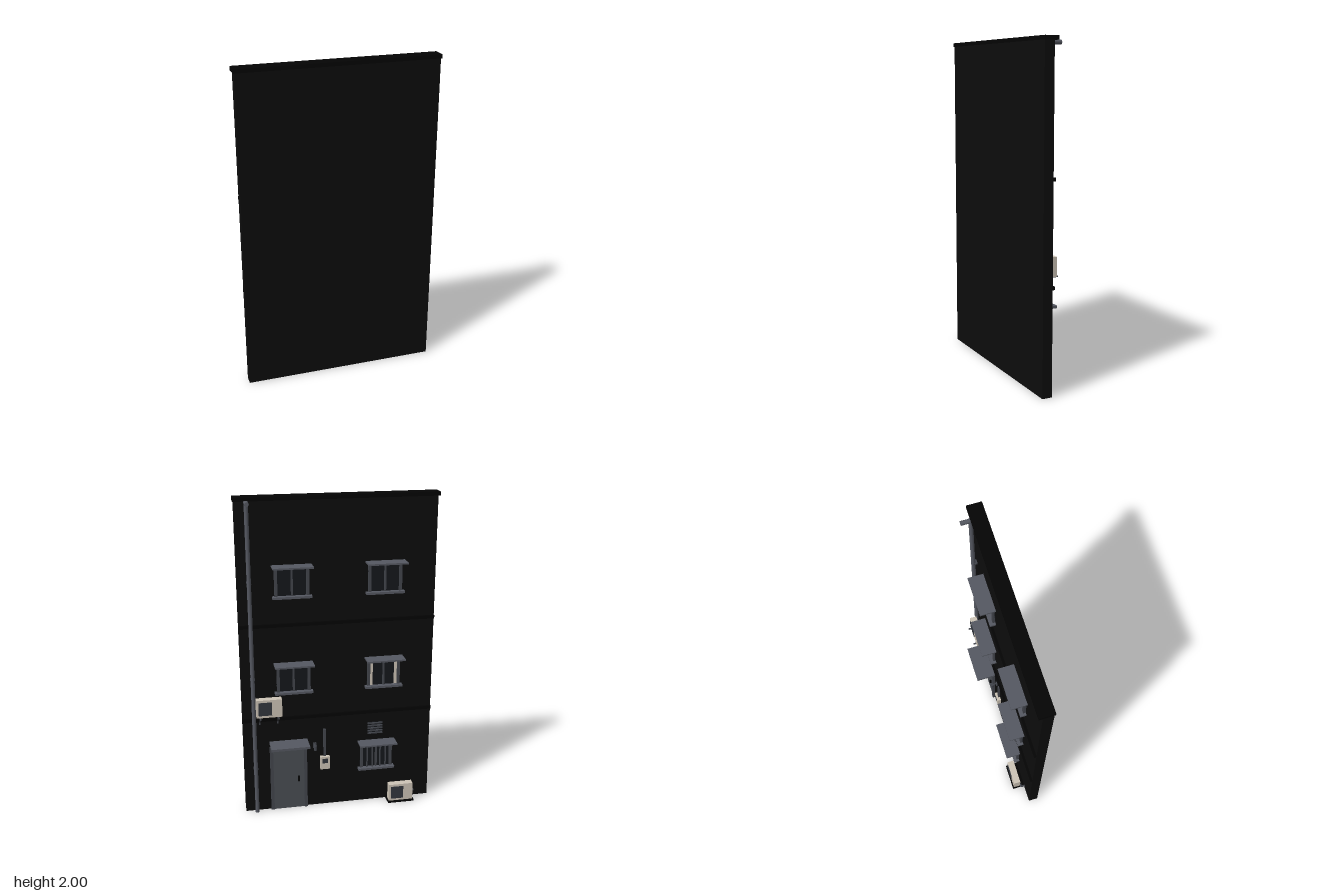
import * as THREE from 'three';

const mat = (name, color) => {
  const m = new THREE.MeshStandardMaterial({ color });
  m.name = name;
  return m;
};

export function createModel() {
  const wallBlack = mat('wall black', 0x0c0c0c);
  const trimBlack = mat('trim black', 0x040404);
  const metal = mat('grey metal', 0x555861);
  const frameGrey = mat('frame grey', 0x43464d);
  const doorGrey = mat('door grey', 0x4a4e54);
  const glass = mat('dark glass', 0x15171b);
  const cream = mat('cream casing', 0xcdc4b6);
  const grille = mat('grille grey', 0x33373e);

  const root = new THREE.Group();
  root.name = 'buildingFacade';
  const FACE = 0.03; // rear face of the wall; details project towards -z

  const group = (name, parent = root) => {
    const g = new THREE.Group();
    g.name = name;
    parent.add(g);
    return g;
  };

  // Box given by its limits on each axis
  const box = (name, m, [x0, x1], [y0, y1], [z0, z1], parent = root) => {
    const mesh = new THREE.Mesh(new THREE.BoxGeometry(x1 - x0, y1 - y0, z1 - z0), m);
    mesh.position.set((x0 + x1) / 2, (y0 + y1) / 2, (z0 + z1) / 2);
    mesh.name = name;
    parent.add(mesh);
    return mesh;
  };

  // Round rod between two points
  const rod = (name, m, a, b, r, parent = root) => {
    const p = new THREE.Vector3(...a), q = new THREE.Vector3(...b);
    const mesh = new THREE.Mesh(new THREE.CylinderGeometry(r, r, p.distanceTo(q), 12), m);
    mesh.position.copy(p).add(q).multiplyScalar(0.5);
    mesh.quaternion.setFromUnitVectors(new THREE.Vector3(0, 1, 0), q.sub(p).normalize());
    mesh.name = name;
    parent.add(mesh);
    return mesh;
  };

  // Wall, cornice and floor bands
  box('wall', wallBlack, [-0.6, 0.6], [0, 1.98], [FACE, 0.09]);
  box('cornice', trimBlack, [-0.607, 0.607], [1.977, 2], [0.006, 0.093]);
  for (const y of [0.63, 1.235]) box('floorBand', trimBlack, [-0.6, 0.6], [y - 0.01, y + 0.01], [0.017, FACE]);

  // Windows with canopy, sill, frame and optional bars or curtains
  const addWindow = (x, sillY, extra) => {
    const g = group('window');
    const top = sillY + 0.182, w = 0.104;
    box('canopy', metal, [x - 0.12, x + 0.12], [top, top + 0.01], [-0.062, FACE], g);
    box('sill', metal, [x - 0.118, x + 0.118], [sillY - 0.008, sillY + 0.006], [-0.006, FACE], g);
    box('glass', glass, [x - w, x + w], [sillY, top], [0.026, FACE], g);
    for (const s of [-1, 1]) {
      const cx = x + s * (w - 0.009);
      box('framePost', frameGrey, [cx - 0.009, cx + 0.009], [sillY, top], [0.014, FACE], g);
    }
    box('frameHead', frameGrey, [x - w, x + w], [top - 0.014, top], [0.014, FACE], g);
    box('mullion', frameGrey, [x - 0.006, x + 0.006], [sillY, top], [0.016, FACE], g);
    if (extra === 'curtains') for (const s of [-1, 1]) {
      const cx = x + s * 0.077;
      box('curtain', cream, [cx - 0.009, cx + 0.009], [sillY + 0.006, top - 0.014], [0.023, 0.027], g);
    }
    if (extra === 'bars') for (const dx of [-0.06, -0.025, 0.025, 0.06])
      box('windowBar', frameGrey, [x + dx - 0.004, x + dx + 0.004], [sillY, top], [0.008, 0.016], g);
  };
  addWindow(0.28, 1.41);
  addWindow(-0.285, 1.41);
  addWindow(0.28, 0.805);
  addWindow(-0.285, 0.805, 'curtains');
  addWindow(-0.245, 0.24, 'bars');

  // Door with frame, handle and canopy
  const door = group('door');
  box('doorPanel', doorGrey, [0.225, 0.42], [0, 0.425], [0.02, FACE], door);
  for (const x of [0.205, 0.42]) box('doorPost', frameGrey, [x, x + 0.02], [0, 0.44], [0.013, FACE], door);
  box('doorHead', frameGrey, [0.205, 0.44], [0.42, 0.44], [0.013, FACE], door);
  box('doorHandle', trimBlack, [0.253, 0.265], [0.19, 0.225], [0.008, 0.02], door);
  box('doorCanopy', metal, [0.2, 0.44], [0.462, 0.477], [-0.093, FACE], door);

  // Air conditioner casing with fan grille; x0 is its right end, y0 its underside
  const addCooler = (name, x0, y0) => {
    const g = group(name);
    box('casing', cream, [x0, x0 + 0.158], [y0, y0 + 0.115], [-0.042, 0.002], g);
    box('fanGrille', grille, [x0 + 0.063, x0 + 0.145], [y0 + 0.015, y0 + 0.1], [-0.045, -0.042], g);
    return g;
  };
  const upper = addCooler('upperCooler', 0.362, 0.672);
  for (const x of [0.385, 0.497]) {
    box('bracketArm', frameGrey, [x - 0.004, x + 0.004], [0.664, 0.672], [-0.06, FACE], upper);
    box('bracketLeg', frameGrey, [x - 0.004, x + 0.004], [0.6, 0.668], [0.02, FACE], upper);
    rod('bracketBrace', frameGrey, [x, 0.61, 0.025], [x, 0.666, -0.02], 0.003, upper);
  }
  const lower = addCooler('lowerCooler', -0.48, 0.012);
  box('coolerBase', trimBlack, [-0.487, -0.316], [0, 0.012], [-0.05, FACE], lower);
  rod('coolerHose', frameGrey, [-0.478, 0.05, 0.005], [-0.5, 0.05, 0.005], 0.006, lower);
  rod('coolerHose', frameGrey, [-0.497, 0.05, 0.005], [-0.497, 0.05, 0.032], 0.006, lower);

  // Drainpipe with outlet and clips
  const pipe = group('drainpipe');
  rod('pipe', metal, [0.532, 0, 0.008], [0.532, 1.98, 0.008], 0.0125, pipe);
  rod('outlet', metal, [0.532, 1.968, FACE], [0.532, 1.968, -0.048], 0.0125, pipe);
  for (const y of [0.3, 0.9, 1.5]) box('pipeClip', frameGrey, [0.518, 0.546], [y, y + 0.012], [0.005, FACE], pipe);

  // Electric meter and conduit
  const meter = group('meter');
  box('meterBox', cream, [0.06, 0.12], [0.262, 0.348], [0.005, FACE], meter);
  box('meterWindow', grille, [0.073, 0.107], [0.305, 0.335], [0.002, 0.005], meter);
  box('conduit', frameGrey, [0.082, 0.098], [0.348, 0.535], [0.018, FACE], meter);

  // Wall lamp beside the door
  const lamp = group('wallLamp');
  box('lampPlate', frameGrey, [0.143, 0.165], [0.41, 0.445], [0.022, FACE], lamp);
  rod('lampArm', frameGrey, [0.154, 0.435, FACE], [0.154, 0.435, -0.008], 0.004, lamp);
  rod('lampHead', frameGrey, [0.154, 0.437, -0.004], [0.154, 0.405, -0.004], 0.009, lamp);

  // Louvred vent
  const vent = group('vent');
  box('ventBack', glass, [-0.285, -0.19], [0.475, 0.555], [0.026, FACE], vent);
  for (let i = 0; i < 5; i++) {
    const y = 0.477 + i * 0.017;
    box('ventSlat', frameGrey, [-0.285, -0.19], [y, y + 0.008], [0.018, FACE], vent);
  }
  return root;
}
